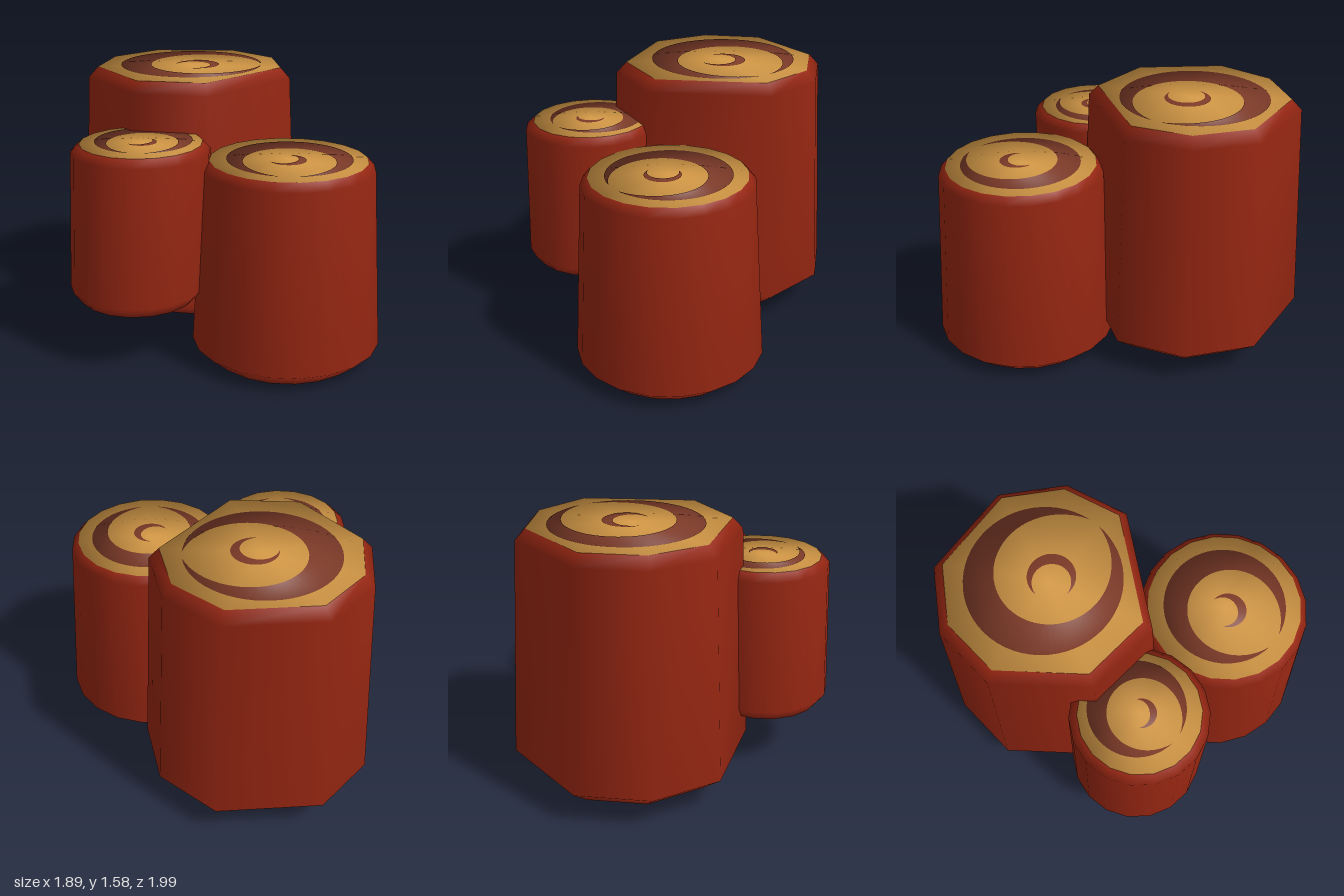
import * as THREE from 'three';

const red = new THREE.MeshStandardMaterial({ color: 0x962612 });
const gold = new THREE.MeshStandardMaterial({ color: 0xd89c48 });
const brown = new THREE.MeshStandardMaterial({ color: 0x7c3a28 });
red.name = 'red casing';
gold.name = 'golden end';
brown.name = 'brown swirl';

// Regular outline of n points, radius r
const circle = (n, r, start = 0.16) => Array.from({ length: n }, (_, i) => {
  const a = start + (i / n) * Math.PI * 2;
  return [Math.cos(a) * r, Math.sin(a) * r];
});

function geometry(positions, index, normals) {
  const g = new THREE.BufferGeometry();
  g.setAttribute('position', new THREE.Float32BufferAttribute(positions, 3));
  g.setIndex(index);
  if (normals) g.setAttribute('normal', new THREE.Float32BufferAttribute(normals, 3));
  else g.computeVertexNormals();
  return g;
}

// Smooth wall through the rings, each ring being an array of [x, y, z]
function wallGeometry(rings) {
  const n = rings[0].length, index = [];
  for (let k = 0; k < rings.length - 1; k++) {
    for (let i = 0; i < n; i++) {
      const a = k * n + i, b = k * n + (i + 1) % n;
      index.push(a, a + n, b, b, a + n, b + n);
    }
  }
  return geometry(rings.flat(2), index);
}

// Upper ends are softly shaded as if rounded, lower ends are flat
function endNormals(pos, cx, cz, r, up) {
  const out = [], v = new THREE.Vector3();
  for (let i = 0; i < pos.length; i += 3) {
    const dx = (pos[i] - cx) / r, dz = (pos[i + 2] - cz) / r;
    if (up) v.set(dx, 1 - 0.85 * Math.min(1, Math.hypot(dx, dz)), dz).normalize();
    else v.set(0, -1, 0);
    out.push(v.x, v.y, v.z);
  }
  return out;
}

// Flat disc closing a ring
function discGeometry(ring, cx, cz, r, up) {
  const n = ring.length, pos = [cx, ring[0][1], cz, ...ring.flat()], index = [];
  for (let i = 0; i < n; i++) {
    const a = 1 + i, b = 1 + (i + 1) % n;
    index.push(0, ...(up ? [b, a] : [a, b]));
  }
  return geometry(pos, index, endNormals(pos, cx, cz, r, up));
}

// Tapered arc: thickest in direction mid, pointed at both tips
function swirlGeometry({ at, r, w, mid, sweep }, y, cx, cz, endR, up) {
  const pos = [], index = [], n = 56;
  for (let i = 0; i <= n; i++) {
    const t = i / n, a = THREE.MathUtils.degToRad(mid + (t - 0.5) * sweep);
    const inner = r - w * Math.sin(Math.PI * t);
    for (const q of [r, inner]) pos.push(at[0] + Math.cos(a) * q, y, at[1] + Math.sin(a) * q);
    if (i < n) {
      const o = i * 2, p = o + 1, o2 = o + 2, p2 = o + 3;
      index.push(...(up ? [o, p, o2, p, p2, o2] : [o, o2, p, p, o2, p2]));
    }
  }
  return geometry(pos, index, endNormals(pos, cx, cz, endR, up));
}

function addMesh(group, name, geo, mat) {
  const m = new THREE.Mesh(geo, mat);
  m.name = name;
  group.add(m);
}

// One roll: outline scaled along a profile of [y, scale], with optional lean
function createRoll(name, { base, lean = [0, 0], outline, profile, swirls }) {
  const group = new THREE.Group();
  group.name = name;
  const y0 = profile[0][0], y1 = profile[profile.length - 1][0];
  const centre = (y) => base.map((c, k) => c + lean[k] * (y - y0) / (y1 - y0));
  const rings = profile.map(([y, s]) => {
    const [cx, cz] = centre(y);
    return outline.map(([x, z]) => [cx + x * s, y, cz + z * s]);
  });
  addMesh(group, 'casing', wallGeometry(rings), red);
  for (const up of [true, false]) {
    const ring = up ? rings[rings.length - 1] : rings[0];
    const y = ring[0][1], [cx, cz] = centre(y), end = up ? 'top' : 'bottom';
    const r = ring.reduce((s, p) => s + Math.hypot(p[0] - cx, p[2] - cz), 0) / ring.length;
    addMesh(group, end + 'End', discGeometry(ring, cx, cz, r, up), gold);
    swirls.forEach((s, i) => {
      // swirl positions are given for the top end
      const top = centre(y1);
      const at = [s.at[0] - top[0] + cx, s.at[1] - top[1] + cz];
      const g = swirlGeometry({ ...s, at }, y + (up ? 0.003 : -0.003), cx, cz, r, up);
      addMesh(group, end + (i ? 'InnerSwirl' : 'OuterSwirl'), g, brown);
    });
  }
  return group;
}

export function createModel() {
  const model = new THREE.Group();
  model.name = 'threeRolls';
  model.add(
    createRoll('tallBackRoll', {
      base: [-0.245, -0.355],
      outline: [[0.28, -0.645], [0.605, -0.35], [0.685, 0.075], [0.17, 0.69],
        [-0.33, 0.64], [-0.705, 0.13], [-0.65, -0.305], [-0.35, -0.625]],
      profile: [[0.09, 0.8], [0.2, 1], [1.51, 0.91], [1.575, 0.825]],
      swirls: [
        { at: [-0.25, -0.375], r: 0.445, w: 0.19, mid: 180, sweep: 352 },
        { at: [-0.21, -0.35], r: 0.137, w: 0.062, mid: -40, sweep: 280 },
      ],
    }),
    createRoll('frontLeftRoll', {
      base: [0.39, 0.44],
      outline: circle(20, 0.557),
      profile: [[0, 0.8], [0.095, 1], [1.15, 0.89], [1.195, 0.815]],
      swirls: [
        { at: [0.395, 0.44], r: 0.36, w: 0.15, mid: -90, sweep: 345 },
        { at: [0.385, 0.475], r: 0.106, w: 0.052, mid: 35, sweep: 250 },
      ],
    }),
    createRoll('raisedRightRoll', {
      base: [-0.487, 0.485], lean: [0.037, -0.015],
      outline: circle(18, 0.4),
      profile: [[0.355, 0.86], [0.425, 1], [1.24, 1], [1.285, 0.88]],
      swirls: [
        { at: [-0.44, 0.44], r: 0.28, w: 0.12, mid: -90, sweep: 345 },
        { at: [-0.445, 0.48], r: 0.085, w: 0.04, mid: 45, sweep: 210 },
      ],
    }),
  );
  return model;
}
